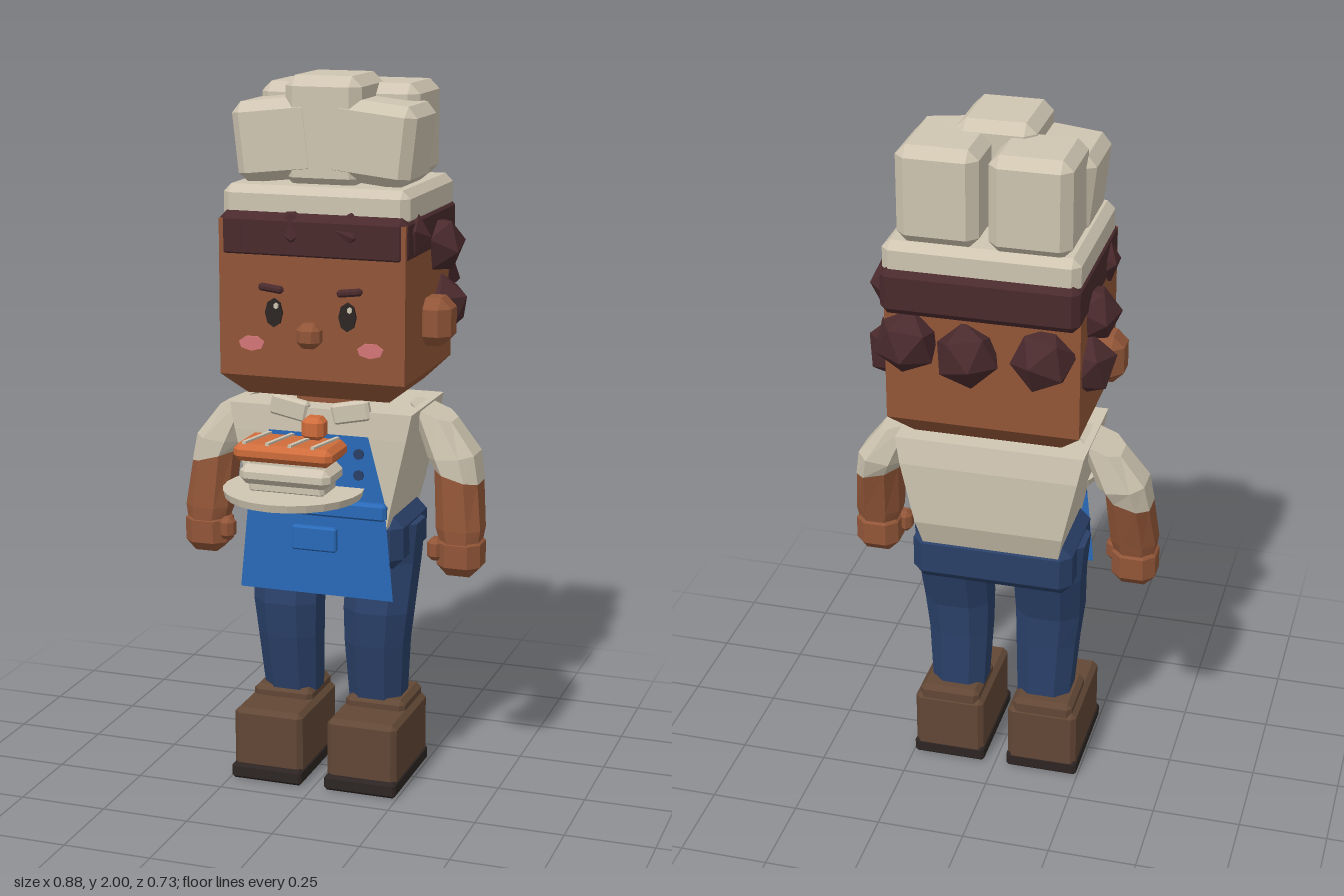
import * as THREE from 'three';
import { ConvexGeometry } from 'three/addons/geometries/ConvexGeometry.js';

const paint = (name, color) => {
  const m = new THREE.MeshStandardMaterial({ color });
  m.name = name;
  return m;
};

// Box with all edges cut at 45 degrees
function chamferBox(w, h, d, c) {
  const pts = [];
  const [x, y, z] = [w / 2, h / 2, d / 2];
  for (const a of [-1, 1]) for (const b of [-1, 1]) for (const e of [-1, 1]) {
    pts.push(new THREE.Vector3(a * x, b * (y - c), e * (z - c)));
    pts.push(new THREE.Vector3(a * (x - c), b * y, e * (z - c)));
    pts.push(new THREE.Vector3(a * (x - c), b * (y - c), e * z));
  }
  return new ConvexGeometry(pts);
}

// Faceted loft through sections [cx, y, cz, halfX, halfZ, tilt], bottom to top.
// k is the share of each side left flat; k = 1 gives plain rectangles.
function loft(sections, k) {
  const ring = k === 1
    ? [[1, 1], [1, -1], [-1, -1], [-1, 1]]
    : [[1, k], [1, -k], [k, -1], [-k, -1], [-1, -k], [-1, k], [-k, 1], [k, 1]];
  const n = ring.length, pos = [], idx = [];
  for (const [cx, y, cz, hx, hz, tilt = 0] of sections)
    for (const [u, v] of ring) pos.push(cx + u * hx, y + tilt * u * hx, cz + v * hz);
  const last = (sections.length - 1) * n;
  for (let s = 0; s < last; s += n) for (let i = 0; i < n; i++) {
    const j = (i + 1) % n;
    idx.push(s + i, s + j, s + n + j, s + i, s + n + j, s + n + i);
  }
  for (let i = 1; i < n - 1; i++) idx.push(0, i + 1, i, last, last + i, last + i + 1);
  return flat(new THREE.BufferGeometry()
    .setAttribute('position', new THREE.Float32BufferAttribute(pos, 3)).setIndex(idx));
}

function flat(geometry) {
  const g = geometry.index ? geometry.toNonIndexed() : geometry;
  g.computeVertexNormals();
  return g;
}

export function createModel() {
  const root = new THREE.Group();
  const cream = paint('cream cloth', 0xcfc5b1);
  const skin = paint('skin', 0x925638);
  const hair = paint('dark hair', 0x4a2a2d);
  const apron = paint('apron blue', 0x296ab8);
  const denim = paint('denim', 0x2a4068);
  const leather = paint('boot leather', 0x624735);
  const dark = paint('dark sole', 0x2d2523);
  const orange = paint('grilled orange', 0xcf6c3b);
  const pink = paint('blush pink', 0xd47676);
  apron.side = THREE.DoubleSide;

  const add = (name, geometry, material, x = 0, y = 0, z = 0, rz = 0) => {
    const m = new THREE.Mesh(geometry, material);
    m.name = name;
    m.position.set(x, y, z);
    m.rotation.z = rz;
    root.add(m);
    return m;
  };
  const box = (name, mat, [w, h, d], [x, y, z], c = 0.01, rz = 0) =>
    add(name, chamferBox(w, h, d, c), mat, x, y, z, rz);
  const panel = (name, mat, corners, z) => {
    const s = new THREE.Shape(corners.map(([x, y]) => new THREE.Vector2(x, y)));
    return add(name, new THREE.ShapeGeometry(s), mat, 0, 0, z);
  };
  // Thin faceted oval lying on the face
  const oval = (name, mat, w, h, x, y, z, sides = 8) => {
    const g = new THREE.CylinderGeometry(0.5, 0.5, 0.008, sides).rotateX(Math.PI / 2).scale(w, h, 1);
    return add(name, flat(g), mat, x, y, z);
  };

  // Head, neck and hat
  add('head', loft([[0, 1.13, -0.045, 0.205, 0.165], [0, 1.19, -0.045, 0.265, 0.22],
    [0, 1.62, -0.045, 0.265, 0.22]], 1), skin);
  box('neck', skin, [0.2, 0.12, 0.18], [0, 1.12, -0.055], 0.02);
  box('nose', skin, [0.068, 0.068, 0.06], [0, 1.315, 0.19], 0.018);
  box('hatBand', cream, [0.53, 0.1, 0.445], [0, 1.66, -0.067], 0.022);
  box('hatPuffCentre', cream, [0.216, 0.3, 0.24], [0, 1.85, -0.02], 0.028);
  box('hatPuffBackRight', cream, [0.22, 0.265, 0.22], [-0.13, 1.835, -0.18], 0.028);
  box('hatPuffBackLeft', cream, [0.22, 0.265, 0.24], [0.115, 1.84, -0.17], 0.028);
  for (const s of [-1, 1])
    box('hatPuffSide', cream, [0.24, 0.22, 0.23], [s * 0.135, 1.825, -0.014], 0.028, -s * 0.11);

  // Hair cap and curls: x, y, z, radius
  box('hairCap', hair, [0.535, 0.13, 0.485], [0, 1.575, -0.063], 0.02);
  const curls = [
    [-0.2, 1.58, 0.13, 0.06], [-0.06, 1.595, 0.125, 0.068], [0.095, 1.59, 0.125, 0.068],
    [0.235, 1.58, 0.07, 0.068], [-0.235, 1.56, 0.07, 0.066], [0.26, 1.53, -0.13, 0.085],
    [-0.265, 1.5, -0.13, 0.08], [0.255, 1.355, -0.17, 0.09], [-0.255, 1.37, -0.17, 0.09],
    [0.2, 1.43, -0.275, 0.09], [0.035, 1.41, -0.28, 0.09], [-0.17, 1.42, -0.275, 0.09],
  ];
  curls.forEach(([x, y, z, r], i) => {
    const c = add('curl', flat(new THREE.IcosahedronGeometry(r)), hair, x, y, z);
    c.rotation.set(i * 0.9, i * 1.7, i * 0.5);
  });

  // Torso, hips and collar
  add('shirt', loft([[0, 0.765, -0.04, 0.195, 0.15], [0, 0.84, -0.052, 0.21, 0.163],
    [0, 1.02, -0.052, 0.25, 0.163], [0, 1.095, -0.047, 0.265, 0.155]], 1), cream);
  box('hips', denim, [0.46, 0.15, 0.285], [0, 0.715, -0.052], 0.03);

  // Mirrored face details, limbs and boots
  for (const s of [-1, 1]) {
    box('ear', skin, [0.1, 0.135, 0.115], [s * 0.29, 1.335, -0.035], 0.03);
    oval('eye', dark, 0.05, 0.08, s * 0.105, 1.37, 0.179);
    oval('eyeGlint', cream, 0.014, 0.018, s * 0.105 + 0.008, 1.39, 0.184, 6);
    box('eyebrow', hair, [0.07, 0.02, 0.02], [s * 0.112, 1.437, 0.183], 0.006, s * 0.12);
    oval('cheek', pink, 0.075, 0.042, s * 0.17, 1.282, 0.18, 7);
    box('collar', cream, [0.11, 0.06, 0.03], [s * 0.09, 1.09, 0.1], 0.008, s * 0.2);

    add('sleeve', loft([[s * 0.362, 0.905, -0.035, 0.063, 0.074, -s * 0.28],
      [s * 0.345, 0.96, -0.045, 0.066, 0.084, s * 0.1],
      [s * 0.283, 1.08, -0.05, 0.06, 0.07, -s * -0.4]].map((p, i) =>
      i === 2 ? [p[0], p[1], p[2], p[3], p[4], -s * 0.4 * -1 * -1] : p), 0.5), cream);
    add('forearm', loft([[s * 0.378, 0.72, -0.005, 0.055, 0.055],
      [s * 0.375, 0.76, -0.01, 0.064, 0.06],
      [s * 0.362, 0.905, -0.035, 0.062, 0.073, -s * 0.28]], 0.5), skin);
    box('hand', skin, [0.125, 0.125, 0.12], [s * 0.378, 0.688, -0.008], 0.03);
    box('thumb', skin, [0.045, 0.065, 0.05], [s * 0.312, 0.7, 0.02], 0.014);

    add('leg', loft([[s * 0.128, 0.2, -0.042, 0.076, 0.068], [s * 0.131, 0.4, -0.02, 0.087, 0.079],
      [s * 0.136, 0.5, -0.018, 0.094, 0.082], [s * 0.14, 0.64, -0.05, 0.098, 0.085],
      [s * 0.148, 0.755, -0.05, 0.1, 0.085]], 0.5), denim);
    box('boot', leather, [0.205, 0.19, 0.31], [s * 0.14, 0.115, 0.008], 0.014);
    box('bootCuff', leather, [0.178, 0.06, 0.185], [s * 0.14, 0.21, -0.052], 0.014);
    box('sole', dark, [0.212, 0.045, 0.325], [s * 0.14, 0.0225, 0.014], 0.008);
    oval('button', denim, 0.03, 0.03, s * 0.12, 0.98, 0.127);
    oval('button', denim, 0.03, 0.03, s * 0.12, 0.92, 0.127);
  }

  // Apron
  panel('apronBib', apron, [[-0.2, 0.82], [0.2, 0.82], [0.145, 1.028], [-0.145, 1.028]], 0.12);
  panel('apronSkirt', apron, [[-0.225, 0.57], [0.225, 0.57], [0.2, 0.83], [-0.2, 0.83]], 0.138);
  box('apronWaistband', apron, [0.405, 0.05, 0.028], [0, 0.82, 0.13], 0.008);
  box('apronPocket', apron, [0.13, 0.07, 0.022], [0, 0.735, 0.15], 0.005);

  // Plate with stacked food
  add('plate', flat(new THREE.CylinderGeometry(0.196, 0.19, 0.022, 24)), cream, -0.055, 0.871, 0.167);
  add('plateFoot', flat(new THREE.CylinderGeometry(0.135, 0.13, 0.016, 24)), cream, -0.055, 0.854, 0.167);
  box('foodBase', cream, [0.22, 0.04, 0.11], [-0.053, 0.895, 0.185], 0.01);
  box('foodMiddle', cream, [0.262, 0.055, 0.14], [-0.053, 0.93, 0.19], 0.018);
  box('foodUpper', cream, [0.22, 0.04, 0.11], [-0.053, 0.965, 0.18], 0.01);
  box('grilledSlice', orange, [0.285, 0.05, 0.155], [-0.053, 0.995, 0.197], 0.016);
  box('foodTopper', orange, [0.064, 0.065, 0.06], [0, 1.05, 0.148], 0.014);
  for (let i = 0; i < 4; i++) {
    const stripe = add('grillStripe', new THREE.BoxGeometry(0.011, 0.008, 0.135), cream,
      -0.15 + i * 0.066, 1.022, 0.197);
    stripe.rotation.y = -0.2;
  }
  return root;
}
